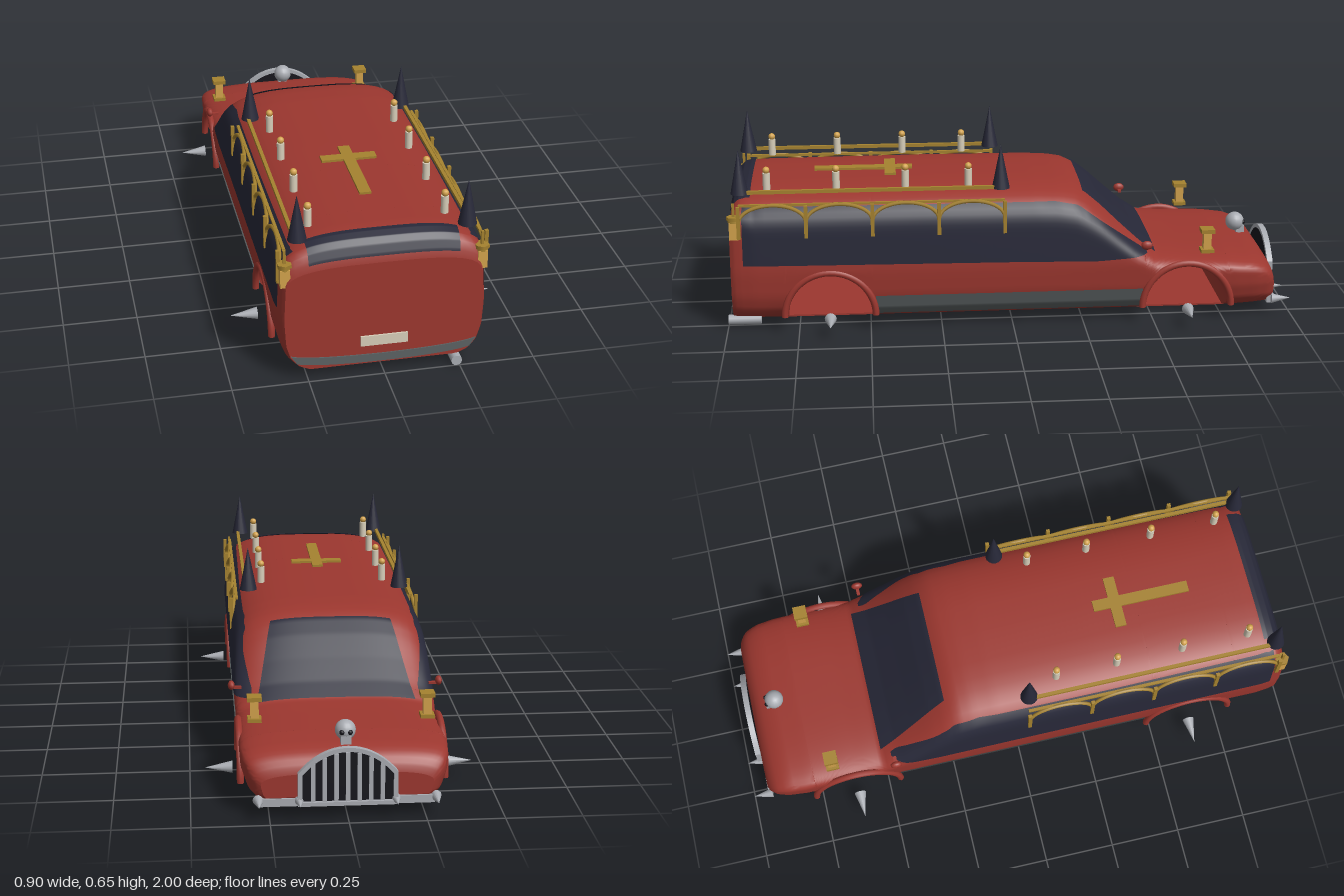
import * as THREE from 'three';
import { toCreasedNormals } from 'three/addons/utils/BufferGeometryUtils.js';

const mat = (name, color, side = THREE.FrontSide) => {
  const m = new THREE.MeshStandardMaterial({ color, side });
  m.name = name;
  return m;
};

// Piecewise linear lookup
const lerpTable = (t) => (v) => {
  if (v <= t[0][0]) return t[0][1];
  for (let i = 1; i < t.length; i++) {
    if (v <= t[i][0]) {
      const [a, p] = t[i - 1], [b, q] = t[i];
      return p + (q - p) * (v - a) / (b - a);
    }
  }
  return t[t.length - 1][1];
};

// Body rules: roof line, underside, plan taper, shoulder depth, side profile
const roofY = lerpTable([[-.94, .15], [-.935, .17], [-.92, .193], [-.9, .208], [-.86, .222], [-.77, .234], [-.6, .243],
  [-.51, .25], [-.45, .293], [-.38, .355], [-.31, .42], [-.26, .46], [-.22, .48], [-.17, .489], [-.08, .494], [.3, .496],
  [.88, .493], [.92, .488], [.945, .478], [.962, .46], [.975, .43], [.98, .405]]);
const floorY = lerpTable([[-.94, .07], [-.92, .05], [-.87, .03], [-.8, .02], [-.6, .014], [.8, .014], [.93, .02], [.965, .028], [.98, .036]]);
const taper = lerpTable([[-.94, .84], [-.93, .89], [-.91, .94], [-.87, .98], [-.8, 1], [.9, 1], [.95, .985], [.97, .97], [.98, .95]]);
const shoulder = lerpTable([[-.94, .05], [-.5, .08], [-.25, .15], [.9, .15], [.98, .08]]);
const sideX = lerpTable([[.01, .2], [.03, .24], [.05, .29], [.08, .32], [.13, .336], [.22, .342], [.3, .338], [.5, .328]]);

const halfWidth = (y, z) => {
  const d = Math.min(1, Math.max(0, (roofY(z) - y) / shoulder(z)));
  return sideX(y) * taper(z) * Math.pow(1 - Math.pow(1 - d, 3.2), 1 / 3.2);
};
// Height of the upper surface above a given x
const topAt = (x, z) => {
  let hi = roofY(z), lo = hi - shoulder(z);
  for (let i = 0; i < 30; i++) {
    const m = (lo + hi) / 2;
    if (halfWidth(m, z) > Math.abs(x)) lo = m; else hi = m;
  }
  return lo;
};

// Surface from a rule giving a point for each (i, j)
function grid(nu, nv, fn) {
  const pos = [], idx = [];
  for (let i = 0; i <= nu; i++) for (let j = 0; j <= nv; j++) pos.push(...fn(i, j));
  for (let i = 0; i < nu; i++) for (let j = 0; j < nv; j++) {
    const a = i * (nv + 1) + j, b = a + nv + 1;
    idx.push(a, b, a + 1, b, b + 1, a + 1);
  }
  const g = new THREE.BufferGeometry();
  g.setAttribute('position', new THREE.Float32BufferAttribute(pos, 3));
  g.setIndex(idx);
  g.computeVertexNormals();
  return g;
}

const WHEELS = [.64, -.615], ARCH = .15, AXLE = .06;

export function createModel() {
  const D = THREE.DoubleSide;
  const red = mat('red paint', 0x9c372f, D), glass = mat('dark glass', 0x272838, D), grey = mat('grey trim', 0x5c6263, D);
  const black = mat('black', 0x16161c), gold = mat('old gold', 0xa5822f), amber = mat('amber', 0xd2a24c);
  const ivory = mat('ivory', 0xd8cfba), silver = mat('silver', 0xa9acb2);
  const model = new THREE.Group();
  const add = (name, geo, m, x = 0, y = 0, z = 0) => {
    const mesh = new THREE.Mesh(geo, m);
    mesh.name = name;
    mesh.position.set(x, y, z);
    model.add(mesh);
    return mesh;
  };
  const box = (name, m, w, h, d, x, y, z) => add(name, new THREE.BoxGeometry(w, h, d), m, x, y, z);
  const cyl = (name, m, r0, r1, h, x, y, z, n = 12) => add(name, new THREE.CylinderGeometry(r0, r1, h, n), m, x, y, z);

  // Body shell: cross-sections from nose to tail, underside lifted over the wheels
  const stations = [];
  for (let i = 0; i <= 96; i++) {
    const z = -.94 + i * .02;
    if (WHEELS.every((w) => Math.abs(z - w) > ARCH + .002)) stations.push([z, floorY(z)]);
  }
  for (const z of [-.935, -.93, -.91, .945, .962, .97, .975]) stations.push([z, floorY(z)]);
  stations.sort((a, b) => a[0] - b[0]);
  for (const w of WHEELS) {
    const arch = [[w - ARCH, floorY(w - ARCH)]];
    for (let k = 0; k <= 24; k++) {
      const a = Math.PI * k / 24;
      arch.push([w - ARCH * Math.cos(a), AXLE + ARCH * Math.sin(a)]);
    }
    arch.push([w + ARCH, floorY(w + ARCH)]);
    stations.splice(stations.findIndex((s) => s[0] > w), 0, ...arch);
  }
  const N = 30;
  const rowY = ([z, yb], j) => yb + (roofY(z) - yb) * (1 - Math.cos(Math.PI * j / N)) / 2;
  const shell = grid(stations.length - 1, 2 * N + 1, (i, j) => {
    const s = stations[i], k = j > 2 * N ? 0 : j;
    const y = rowY(s, k <= N ? k : 2 * N - k);
    const x = k === N ? 0 : halfWidth(y, s[0]) * (k < N ? 1 : -1);
    return [x, y, s[0]];
  });
  add('bodyShell', toCreasedNormals(shell, .6), red);
  for (const [name, s, dir] of [['nosePanel', stations[0], -1], ['tailPanel', stations[stations.length - 1], 1]]) {
    add(name, grid(1, N, (i, j) => {
      const y = rowY(s, j);
      return [halfWidth(y, s[0]) * (i ? dir : -dir), y, s[0]];
    }), red);
  }
  for (const w of WHEELS) box('floorPan', red, .42, .006, ARCH * 2 + .02, 0, .017, w);

  // Windscreen and tail window follow the upper surface
  const topPane = (name, z0, z1, w0, w1) => add(name, grid(40, 30, (i, j) => {
    const z = z0 + (z1 - z0) * i / 40, x = (w0 + (w1 - w0) * i / 40) * (j / 15 - 1);
    return [x, topAt(x, z) + .004, z + Math.sign(z) * .003];
  }), glass);
  topPane('windscreen', -.25, -.505, .21, .27);
  topPane('tailWindow', .905, .976, .25, .245);

  for (const s of [-1, 1]) {
    // Side glass and sill follow the flank
    const sidePane = (name, m, z0, z1, low, high) => add(name, grid(90, 12, (i, j) => {
      const z = z0 + (z1 - z0) * i / 90, y = low(z) + (high(z) - low(z)) * j / 12;
      return [s * (halfWidth(y, z) + .004), y, z];
    }), m);
    sidePane('sideGlass', glass, .935, -.475, lerpTable([[-.475, .25], [-.3, .238], [0, .243], [.935, .252]]),
      lerpTable([[-.475, .255], [-.23, .432], [-.15, .447], [.935, .45]]));
    sidePane('sillPanel', grey, .482, -.457, () => .045, () => .13);

    // Wheel arch lips and axle spikes
    for (const w of WHEELS) {
      const lip = add('archLip', new THREE.TorusGeometry(ARCH + .008, .012, 8, 28, Math.PI), red, s * .336, AXLE, w);
      lip.rotation.y = Math.PI / 2;
      const spike = cyl('axleSpike', silver, 0, .021, .092, s * .404, .057, w);
      spike.rotation.z = -s * Math.PI / 2;
    }

    // Mirrors
    const mirror = add('mirror', new THREE.SphereGeometry(.016, 10, 8), red, s * .354, .295, -.465);
    mirror.scale.set(.75, 1, 1.3);
    box('mirrorStalk', red, .03, .008, .012, s * .335, .287, -.465);

    // Roof rail, spires and candles
    box('roofRail', gold, .012, .012, .91, s * .285, .5, .495);
    for (const z of [.94, .04]) cyl('spire', glass, 0, .031, .155, s * .275, .572, z, 16);
    for (const z of [.85, .61, .37, .15]) {
      cyl('candle', ivory, .013, .013, .06, s * .224, .521, z);
      add('flame', new THREE.SphereGeometry(.0125, 10, 8), amber, s * .224, .561, z);
    }

    // Arcade of posts and arches along the flank
    const posts = [.945, .715, .487, .258, .03];
    posts.forEach((z, i) => {
      box('arcadePost', gold, .012, .115, .013, s * .338, .407, z);
      if (!i) return;
      const mid = (z + posts[i - 1]) / 2, half = (posts[i - 1] - z) / 2, pts = [];
      for (let k = 0; k <= 12; k++) {
        const a = Math.PI * k / 12;
        pts.push(new THREE.Vector3(s * (.337 - .014 * Math.sin(a)), .405 + .058 * Math.sin(a), mid + half * Math.cos(a)));
      }
      add('arcadeArch', new THREE.TubeGeometry(new THREE.CatmullRomCurve3(pts), 24, .007, 6), gold);
    });
    box('arcadeRail', gold, .01, .008, .915, s * .318, .463, .487);

    // Tail and hood lanterns
    box('tailLanternGlass', amber, .032, .062, .032, s * .32, .376, .962);
    cyl('tailLanternCap', gold, .018, .02, .014, s * .32, .412, .962, 6);
    cyl('tailLanternRoof', gold, .025, .025, .012, s * .32, .42, .962, 6);
    box('tailLanternFinial', gold, .009, .05, .009, s * .32, .447, .962);
    box('hoodLanternBase', gold, .046, .012, .046, s * .285, .25, -.69);
    box('hoodLanternGlass', amber, .028, .064, .028, s * .285, .285, -.69);
    box('hoodLanternCap', gold, .048, .014, .048, s * .285, .323, -.69);

    // Bumper spikes
    for (const x of [.155, .285]) {
      const spike = cyl('bumperSpike', silver, 0, .018, .07, s * x, .06, -.965);
      spike.rotation.x = -Math.PI / 2;
    }
  }

  // Roof cross
  box('crossShaft', gold, .04, .008, .35, 0, .5, .515);
  box('crossArm', gold, .19, .008, .04, 0, .5, .42);

  // Tail trim, plate and exhaust
  const band = new THREE.Shape();
  band.moveTo(-.305, .092);
  band.quadraticCurveTo(-.25, .072, 0, .07);
  band.quadraticCurveTo(.25, .072, .305, .092);
  band.lineTo(.285, .062);
  band.quadraticCurveTo(.22, .043, 0, .042);
  band.quadraticCurveTo(-.22, .043, -.285, .062);
  add('tailBand', new THREE.ExtrudeGeometry(band, { depth: .004, bevelEnabled: false, curveSegments: 12 }), grey, 0, 0, .98);
  box('tailPlate', ivory, .155, .036, .006, 0, .122, .983);
  cyl('exhaust', silver, .018, .018, .115, .24, .02, .943).rotation.x = Math.PI / 2;

  // Grille: arched frame, dark backing and bars, with the bumper below
  const outline = (w, y0, y1, top) => {
    const p = new THREE.Shape();
    p.moveTo(-w, y0);
    p.lineTo(w, y0);
    p.lineTo(w, y1);
    p.quadraticCurveTo(w * .55, top, 0, top);
    p.quadraticCurveTo(-w * .55, top, -w, y1);
    return p;
  };
  const frame = outline(.16, .045, .155, .24);
  frame.holes.push(outline(.146, .058, .15, .226));
  add('grilleFrame', new THREE.ExtrudeGeometry(frame, { depth: .02, bevelEnabled: false }), silver, 0, 0, -.96);
  add('grilleBacking', new THREE.ExtrudeGeometry(outline(.15, .05, .152, .23), { depth: .006, bevelEnabled: false }), black, 0, 0, -.947);
  for (let i = -3; i <= 3; i++) {
    const top = .222 - .068 * (i / 4) ** 2;
    box('grilleBar', silver, .014, top - .05, .01, i * .037, (top + .05) / 2, -.95);
  }
  box('bumper', silver, .56, .026, .03, 0, .055, -.93);

  // Skull ornament on the hood
  add('skull', new THREE.SphereGeometry(.034, 16, 12), silver, 0, .262, -.848);
  box('skullJaw', silver, .034, .026, .03, 0, .235, -.866);
  for (const s of [-1, 1]) add('skullEye', new THREE.SphereGeometry(.009, 8, 6), black, s * .013, .262, -.876);
  return model;
}
